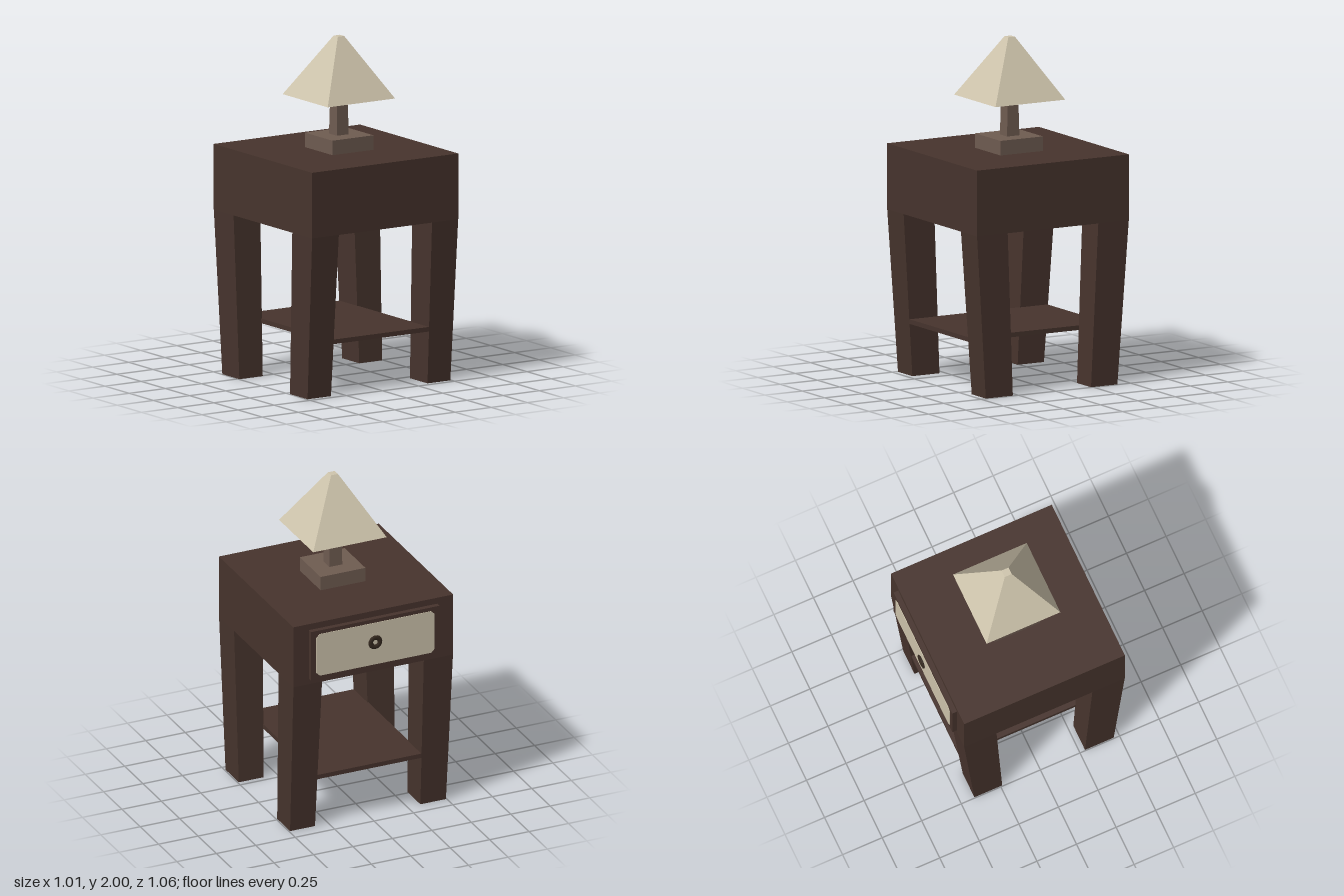
import * as THREE from 'three';

const material = (name, color) => {
  const m = new THREE.MeshStandardMaterial({ color });
  m.name = name;
  return m;
};

export function createModel() {
  const model = new THREE.Group();
  model.name = 'nightstandWithLamp';
  const wood = material('darkWood', 0x47342d);
  const cream = material('cream', 0xcfc5ad);
  const lampWood = material('lampWood', 0x6f5c51);
  const knobMetal = material('darkKnob', 0x35291f);

  const add = (name, geometry, mat) => {
    const mesh = new THREE.Mesh(geometry, mat);
    mesh.name = name;
    model.add(mesh);
    return mesh;
  };

  // Box whose bottom and top rectangles [x0, x1, z0, z1] may differ
  const taperedBox = (name, mat, y0, y1, bottom, top = bottom) => {
    const geometry = new THREE.BoxGeometry(1, 1, 1).toNonIndexed();
    const p = geometry.attributes.position;
    for (let i = 0; i < p.count; i++) {
      const up = p.getY(i) > 0;
      const r = up ? top : bottom;
      p.setXYZ(i, r[p.getX(i) > 0 ? 1 : 0], up ? y1 : y0, r[p.getZ(i) > 0 ? 3 : 2]);
    }
    geometry.computeVertexNormals();
    return add(name, geometry, mat);
  };
  const square = (half, cx = 0.018, cz = 0.023) => [cx - half, cx + half, cz - half, cz + half];

  // Cabinet and shelf
  taperedBox('cabinet', wood, 0.955, 1.34, [-0.508, 0.505, -0.485, 0.53]);
  taperedBox('shelf', wood, 0.308, 0.335, [-0.334, 0.334, -0.436, 0.486]);

  // Four legs, tapering towards the floor
  const legX = {
    right: [[-0.495, -0.333], [-0.507, -0.322]],
    left: [[0.335, 0.493], [0.323, 0.504]],
  };
  const legZ = {
    front: [[0.284, 0.465], [0.325, 0.53]],
    back: [[-0.415, -0.239], [-0.485, -0.281]],
  };
  for (const end of ['front', 'back']) {
    for (const side of ['Left', 'Right']) {
      const x = legX[side.toLowerCase()];
      const z = legZ[end];
      taperedBox(`${end}${side}Leg`, wood, 0, 0.957, [...x[0], ...z[0]], [...x[1], ...z[1]]);
    }
  }

  // Drawer on the back face, with a clipped-corner panel
  taperedBox('drawer', wood, 0.99, 1.302, [-0.408, 0.406, -0.515, -0.485]);
  const w = 0.375, h = 0.133, c = 0.022;
  const outline = new THREE.Shape([
    [-w + c, -h], [w - c, -h], [w, -h + c], [w, h - c],
    [w - c, h], [-w + c, h], [-w, h - c], [-w, -h + c],
  ].map(([x, y]) => new THREE.Vector2(x, y)));
  const panel = add('drawerPanel',
    new THREE.ExtrudeGeometry(outline, { depth: 0.003, bevelEnabled: false }), cream);
  panel.position.set(-0.001, 1.146, -0.518);

  // Ring knob, flattened front to back
  const knob = add('drawerKnob', new THREE.TorusGeometry(0.029, 0.015, 8, 20), knobMetal);
  knob.scale.z = 0.5;
  knob.position.set(0.003, 1.158, -0.524);

  // Lamp
  taperedBox('lampBase', lampWood, 1.34, 1.425, square(0.142, 0.018, 0.027));
  taperedBox('lampStem', lampWood, 1.425, 1.65, square(0.041), square(0.036));
  taperedBox('lampShade', cream, 1.645, 2, square(0.233), square(0.022));

  return model;
}
